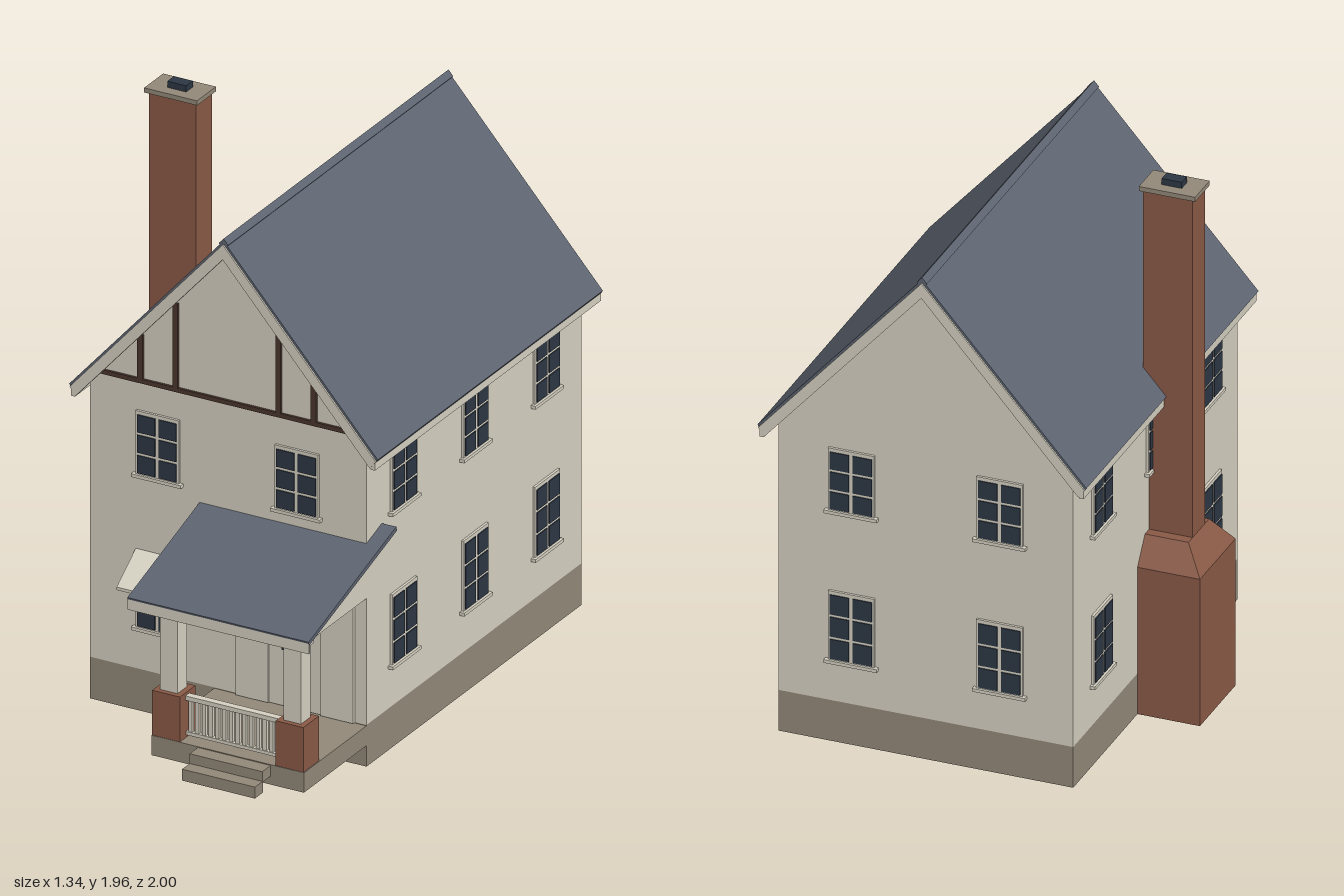
import * as THREE from 'three';

const mat = (name, color) => {
  const m = new THREE.MeshStandardMaterial({ color });
  m.name = name;
  return m;
};

export function createModel() {
  const house = new THREE.Group();
  house.name = 'house';
  const plaster = mat('cream plaster', 0xd6d1c2);
  const slate = mat('slate', 0x5d6470);
  const brick = mat('brick', 0x8a5a47);
  const stone = mat('stone', 0x938979);
  const glass = mat('dark glass', 0x2d3744);
  const timber = mat('dark timber', 0x4b362e);

  const add = (name, geo, material, parent = house) => {
    const m = new THREE.Mesh(geo, material);
    m.name = name;
    parent.add(m);
    return m;
  };
  // Box given by its limits on each axis
  const box = (name, material, [x0, x1], [y0, y1], [z0, z1], parent = house) =>
    add(name, new THREE.BoxGeometry(x1 - x0, y1 - y0, z1 - z0)
      .translate((x0 + x1) / 2, (y0 + y1) / 2, (z0 + z1) / 2), material, parent);
  const extrude = (pts, depth) => new THREE.ExtrudeGeometry(
    new THREE.Shape(pts.map(p => new THREE.Vector2(...p))), { depth, bevelEnabled: false });
  // Prism with an (x, y) outline running along z
  const prismZ = (name, material, pts, z0, z1) =>
    add(name, extrude(pts, z1 - z0).translate(0, 0, z0), material);
  // Prism with a (z, y) outline running along x
  const prismX = (name, material, pts, x0, x1) =>
    add(name, extrude(pts, x1 - x0).rotateY(-Math.PI / 2).translate(x1, 0, 0), material);

  const CX = 0.077, HALF = 0.528, FRONT = 0.478, BACK = -0.955;
  const L = CX - HALF, R = CX + HALF;
  const SLOPE = 1.127;

  // Foundation and gabled walls
  box('foundation', stone, [L, R], [0, 0.153], [BACK, FRONT]);
  const wallTop = 1.785 - SLOPE * HALF;
  prismZ('walls', plaster,
    [[L, 0.153], [R, 0.153], [R, wallTop], [CX, 1.785], [L, wallTop]], BACK, FRONT);

  // Chevron band following the roof pitch
  const chevron = (name, material, half, top, thick, z0, z1) => {
    const end = top - SLOPE * half;
    prismZ(name, material, [
      [CX - half, end], [CX - half + thick * 0.4, end - thick * 0.55], [CX, top - thick],
      [CX + half - thick * 0.4, end - thick * 0.55], [CX + half, end], [CX, top]], z0, z1);
  };
  chevron('roof', slate, 0.59, 1.82, 0.03, -0.99, 0.51);
  chevron('ridgeCap', slate, 0.018, 1.828, 0.03, -0.99, 0.51);
  chevron('frontBargeboard', plaster, 0.585, 1.808, 0.055, 0.494, 0.516);
  chevron('backBargeboard', plaster, 0.585, 1.808, 0.055, -0.996, -0.974);
  for (const s of [-1, 1]) {
    const x = CX + s * 0.573;
    box('eaveFascia', plaster, [x - 0.008, x + 0.008], [1.115, 1.155], [-0.994, 0.514]);
  }

  // Half-timbering on the front gable
  box('gableBeam', timber, [-0.413, 0.565], [1.208, 1.224], [FRONT, FRONT + 0.009]);
  for (const [x, top] of [[-0.256, 1.385], [-0.122, 1.533], [0.272, 1.533], [0.407, 1.385]])
    box('gableStud', timber, [x - 0.01, x + 0.01], [1.224, top], [FRONT, FRONT + 0.009]);

  // Six-pane window facing +z, bottom centre at its origin
  const addWindow = (x, y, z, h, turn) => {
    const g = new THREE.Group();
    g.name = 'window';
    box('casing', plaster, [-0.083, 0.083], [0, h + 0.008], [-0.005, 0.009], g);
    box('sill', plaster, [-0.095, 0.095], [-0.012, 0], [-0.005, 0.018], g);
    const rowH = h / 3;
    for (const c of [-0.041, 0.041])
      for (let r = 0; r < 3; r++)
        box('pane', glass, [c - 0.034, c + 0.034],
          [r * rowH + 0.005, (r + 1) * rowH - 0.005], [0.009, 0.013], g);
    g.position.set(x, y, z);
    g.rotation.y = turn;
    house.add(g);
  };
  const storeys = [[0.31, 0.25], [0.873, 0.224]];
  for (const [y, h] of storeys) {
    for (const z of [0.238, -0.238, -0.714]) {
      addWindow(R, y, z, h, Math.PI / 2);
      addWindow(L, y, z, h, -Math.PI / 2);
    }
    for (const x of [-0.19, 0.342]) {
      addWindow(x, y, BACK, h, Math.PI);
      if (x < 0 || y > 0.5) addWindow(x, y, FRONT, h, 0);
    }
  }

  // Awning over the lower front window
  prismX('awning', plaster,
    [[FRONT, 0.492], [0.605, 0.492], [0.605, 0.503], [FRONT, 0.593]], -0.277, -0.102);

  // Chimney: broad base, tapered shoulder, shaft, cap and flue
  const CZ = -0.24;
  box('chimneyBase', brick, [-0.675, L + 0.01], [0, 0.552], [CZ - 0.155, CZ + 0.155]);
  const shoulder = new THREE.BoxGeometry(0.234, 0.093, 0.31);
  const p = shoulder.attributes.position;
  for (let i = 0; i < p.count; i++) {
    if (p.getY(i) < 0) continue;
    if (p.getX(i) < 0) p.setX(i, p.getX(i) + 0.068);
    p.setZ(i, p.getZ(i) * 0.58);
  }
  shoulder.computeVertexNormals();
  add('chimneyShoulder', shoulder.translate(-0.558, 0.5985, CZ), brick);
  box('chimneyShaft', brick, [-0.607, -0.428], [0.6, 1.915], [CZ - 0.053, CZ + 0.053]);
  box('chimneyCap', stone, [-0.62, -0.418], [1.915, 1.932], [CZ - 0.063, CZ + 0.063]);
  box('chimneyFlue', glass, [-0.555, -0.483], [1.932, 1.955], [CZ - 0.022, CZ + 0.022]);

  // Porch floor and steps
  box('porchFloor', stone, [0.023, R], [0.077, 0.15], [FRONT, 0.895]);
  box('upperStep', stone, [0.2, 0.478], [0.108, 0.147], [0.895, 0.95]);
  box('lowerStep', stone, [0.2, 0.478], [0.069, 0.111], [0.945, 1]);

  // Brick piers with posts
  for (const x of [0.077, 0.549]) {
    box('porchPier', brick, [x - 0.053, x + 0.053], [0.15, 0.315], [0.79, 0.893]);
    box('porchPost', plaster, [x - 0.033, x + 0.033], [0.315, 0.585], [0.81, 0.875]);
    box('postCapital', plaster, [x - 0.04, x + 0.04], [0.585, 0.62], [0.803, 0.882]);
  }

  // Front railing
  box('topRail', plaster, [0.128, 0.498], [0.288, 0.304], [0.83, 0.856]);
  box('bottomRail', plaster, [0.128, 0.498], [0.16, 0.172], [0.833, 0.853]);
  for (let i = 0; i < 14; i++) {
    const x = 0.145 + i * 0.0258;
    box('baluster', plaster, [x - 0.007, x + 0.007], [0.172, 0.288], [0.836, 0.85]);
  }

  // Porch gable block, sloping roof and fascia
  prismX('porchCeilingBlock', plaster,
    [[FRONT, 0.618], [0.89, 0.618], [0.89, 0.628], [FRONT, 0.785]], 0.023, R);
  prismX('porchRoof', slate,
    [[0.37, 0.836], [0.956, 0.656], [0.96, 0.67], [0.375, 0.852]], -0.033, 0.66);
  box('porchFascia', plaster, [-0.033, 0.66], [0.625, 0.668], [0.95, 0.958]);

  // Front door with frame and small window
  for (const x of [0.175, 0.5])
    box('doorSideTrim', plaster, [x - 0.062, x + 0.062], [0.153, 0.585], [FRONT, FRONT + 0.014]);
  box('door', plaster, [0.237, 0.438], [0.153, 0.585], [FRONT, FRONT + 0.008]);
  box('doorWindow', glass, [0.287, 0.396], [0.36, 0.487], [FRONT + 0.008, FRONT + 0.013]);

  return house;
}
